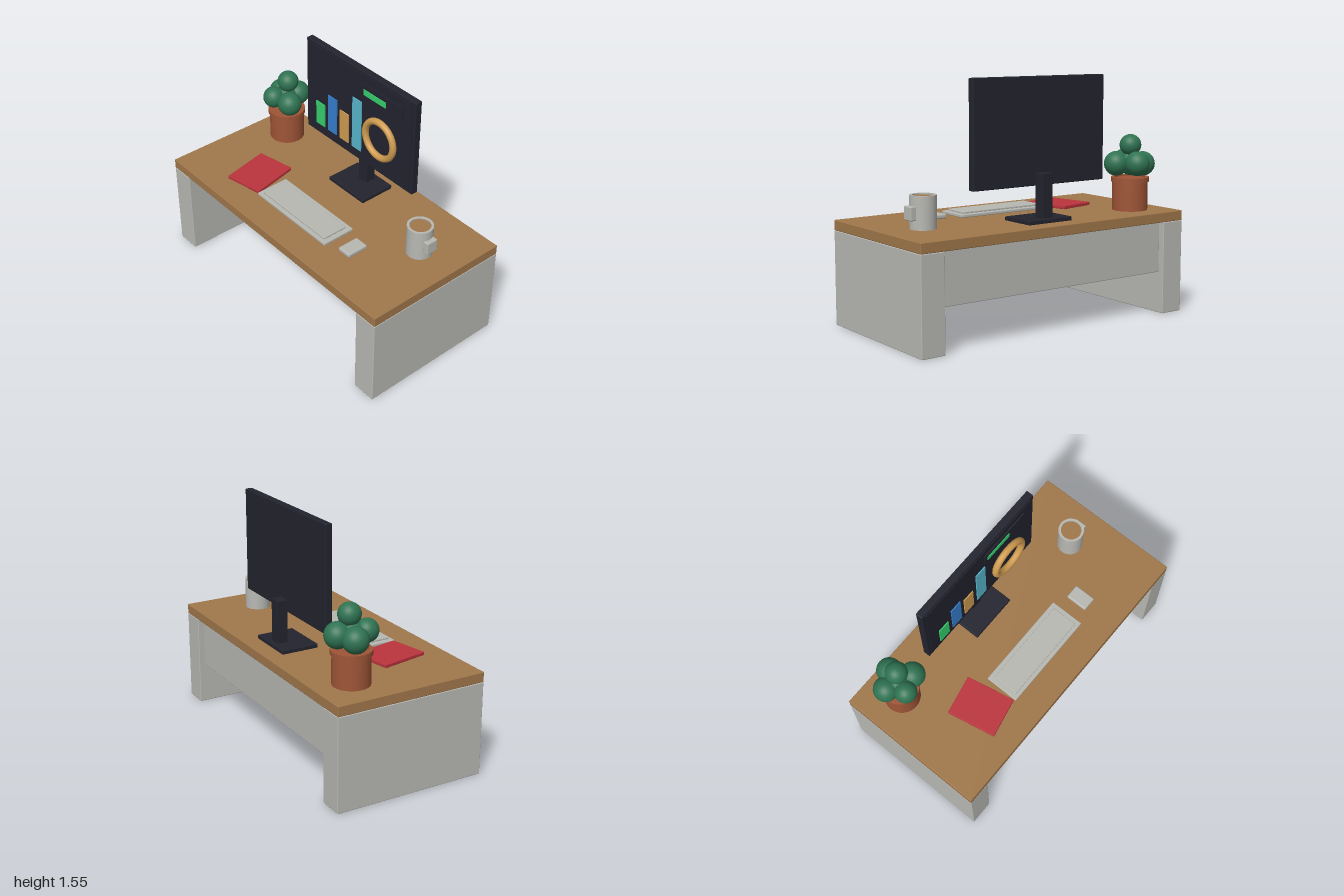
import * as THREE from 'three';
import { RoundedBoxGeometry } from 'three/addons/geometries/RoundedBoxGeometry.js';

function material(name, color) {
  const m = new THREE.MeshStandardMaterial({ color });
  m.name = name;
  return m;
}

export function createModel() {
  const model = new THREE.Group();
  model.name = 'desk';

  const wood = material('wood', 0xa0774a);
  const grey = material('warm grey', 0xb8b8b3);
  const dark = material('dark plastic', 0x22232e);
  const red = material('red cover', 0xbb333c);
  const leaf = material('leaf green', 0x2f7352);
  const clay = material('terracotta', 0x9f5537);
  const green = material('chart green', 0x35d06e);
  const blue = material('chart blue', 0x367fce);
  const amber = material('chart amber', 0xd09c50);
  const cyan = material('chart cyan', 0x57b7cd);

  function add(name, geometry, mat, x = 0, y = 0, z = 0) {
    const mesh = new THREE.Mesh(geometry, mat);
    mesh.name = name;
    mesh.position.set(x, y, z);
    model.add(mesh);
    return mesh;
  }

  // Box given by its limits on each axis, with softened edges when r > 0
  function box(name, mat, [x0, x1], [y0, y1], [z0, z1], r = 0) {
    const size = [x1 - x0, y1 - y0, z1 - z0];
    const geometry = r ? new RoundedBoxGeometry(...size, 2, r) : new THREE.BoxGeometry(...size);
    return add(name, geometry, mat, (x0 + x1) / 2, (y0 + y1) / 2, (z0 + z1) / 2);
  }

  // Turned shape with crisp edges: each profile segment is its own lathe
  function turned(name, mat, profile, x, y, z) {
    const group = new THREE.Group();
    group.name = name;
    group.position.set(x, y, z);
    for (let i = 0; i < profile.length - 1; i++) {
      const pts = [profile[i], profile[i + 1]].map(([r, h]) => new THREE.Vector2(r, h));
      const mesh = new THREE.Mesh(new THREE.LatheGeometry(pts, 32), mat);
      mesh.name = name + 'Surface';
      group.add(mesh);
    }
    model.add(group);
  }

  // Desk
  box('desktop', wood, [-1, 1], [0.6, 0.665], [-0.5, 0.5], 0.005);
  box('rightLeg', grey, [-1, -0.84], [0, 0.6], [-0.5, 0.5], 0.005);
  box('leftLeg', grey, [0.84, 1], [0, 0.6], [-0.5, 0.5], 0.005);
  box('backPanel', grey, [-0.84, 0.84], [0.27, 0.6], [-0.46, -0.42], 0.005);

  // Monitor
  box('monitorBase', dark, [-0.165, 0.165], [0.665, 0.69], [-0.392, -0.145], 0.004);
  box('monitorNeck', dark, [-0.04, 0.04], [0.685, 0.965], [-0.357, -0.288], 0.004);
  box('monitorCase', dark, [-0.5, 0.5], [0.885, 1.55], [-0.29, -0.242], 0.006);
  box('screen', dark, [-0.475, 0.475], [0.91, 1.53], [-0.245, -0.237]);
  box('screenCard', dark, [0.04, 0.4], [1.37, 1.475], [-0.238, -0.229]);
  box('cardLabel', green, [0.06, 0.26], [1.402, 1.442], [-0.23, -0.225]);

  // Bar chart and ring chart
  [[-0.355, 1.13, green], [-0.238, 1.228, blue], [-0.123, 1.175, amber], [-0.004, 1.332, cyan]]
    .forEach(([x, top, mat], i) =>
      box('chartBar' + (i + 1), mat, [x - 0.042, x + 0.042], [0.963, top], [-0.238, -0.23]));
  add('chartRing', new THREE.TorusGeometry(0.125, 0.022, 10, 40), amber, 0.23, 1.165, -0.208);

  // Keyboard and mouse
  box('keyboard', grey, [-0.335, 0.33], [0.665, 0.685], [0.08, 0.31], 0.005);
  box('keyPlate', grey, [-0.303, 0.298], [0.683, 0.697], [0.112, 0.285], 0.004);
  box('mouse', grey, [0.415, 0.513], [0.665, 0.695], [0.125, 0.272], 0.01);

  // Notebook, turned slightly on the desk
  box('notebook', red, [-0.634, -0.37], [0.665, 0.686], [0.002, 0.328], 0.003).rotation.y = 0.2;

  // Mug with drink and block handle
  turned('mug', grey, [[0, 0], [0.082, 0], [0.082, 0.203], [0.066, 0.203], [0.066, 0.17]], 0.73, 0.665, -0.1);
  add('drink', new THREE.CircleGeometry(0.067, 32).rotateX(-Math.PI / 2), wood, 0.73, 0.86, -0.1);
  box('mugHandle', grey, [0.8, 0.84], [0.722, 0.807], [-0.14, -0.06], 0.006);

  // Plant pot with rim and soil
  turned('pot', clay, [[0, 0], [0.115, 0], [0.115, 0.185], [0.124, 0.185], [0.124, 0.215], [0.1, 0.215], [0.1, 0.18]],
    -0.755, 0.665, -0.265);
  add('soil', new THREE.CircleGeometry(0.102, 32).rotateX(-Math.PI / 2), clay, -0.755, 0.87, -0.265);

  // Foliage
  [
    [-0.84, 0.962, -0.29, 0.08],
    [-0.67, 0.968, -0.225, 0.08],
    [-0.74, 0.972, -0.35, 0.08],
    [-0.782, 0.985, -0.18, 0.071],
    [-0.746, 1.088, -0.275, 0.07],
    [-0.755, 0.97, -0.265, 0.08],
  ].forEach(([x, y, z, r], i) => add('leafBall' + (i + 1), new THREE.SphereGeometry(r, 24, 16), leaf, x, y, z));

  return model;
}
